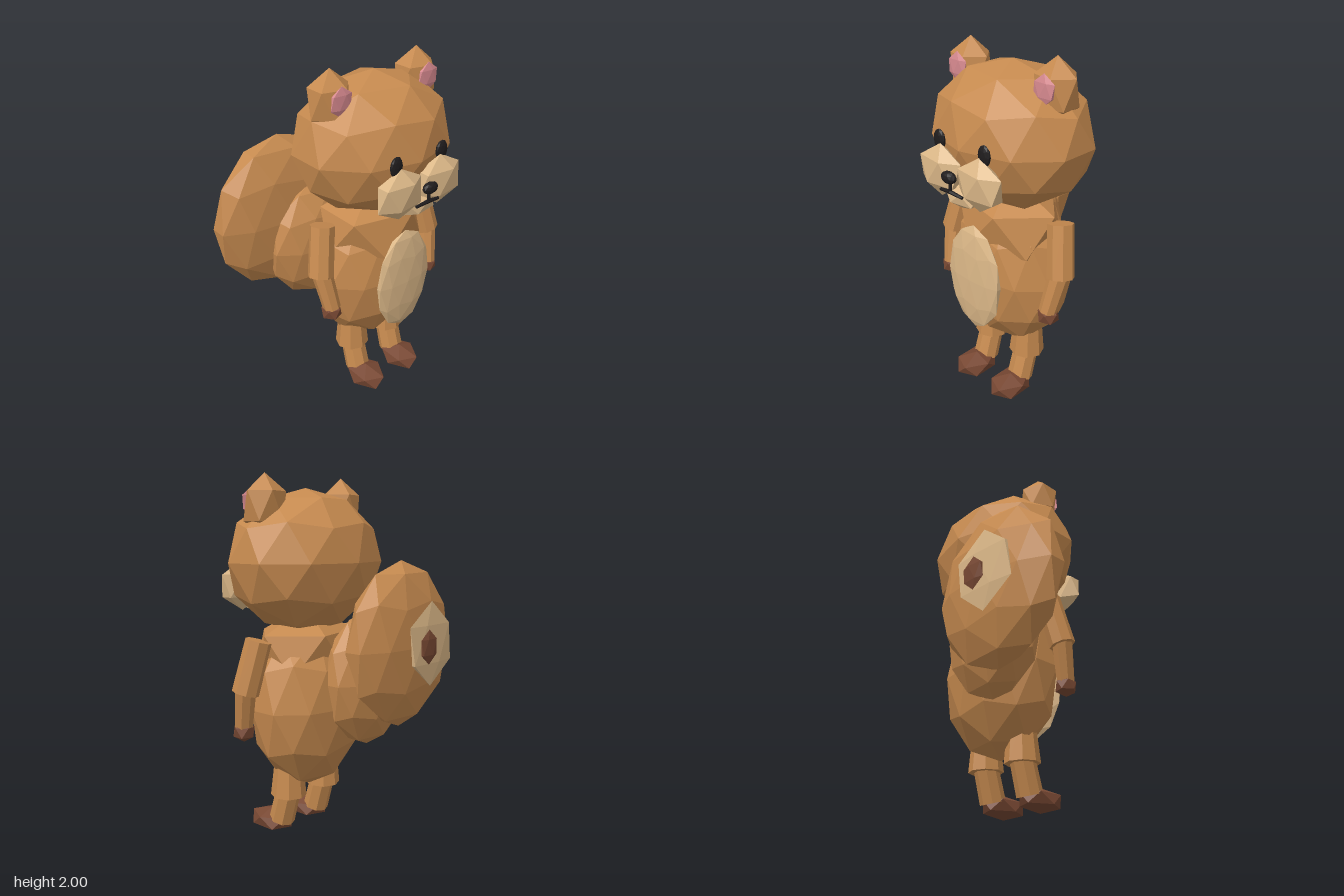
import * as THREE from 'three';

function material(name, color) {
  const m = new THREE.MeshStandardMaterial({ color, flatShading: true });
  m.name = name;
  return m;
}

// Faceted ball standing on a vertex, one upper ring corner pointing to +x
function facetedBall(detail) {
  const g = new THREE.IcosahedronGeometry(1, detail);
  g.rotateX(-Math.atan2((1 + Math.sqrt(5)) / 2, 1));
  g.rotateY(Math.PI / 2);
  g.computeVertexNormals();
  return g;
}

export function createModel() {
  const fur = material('fur', 0xc68a4f);
  const cream = material('cream', 0xdcb888);
  const brown = material('paw brown', 0x784833);
  const pink = material('ear pink', 0xd88a90);
  const black = material('black', 0x1f1c1d);

  const coarse = facetedBall(0);
  const fine = facetedBall(1);
  const model = new THREE.Group();
  model.name = 'squirrel';
  const MID = 0.145; // centre line of the body

  function ball(name, geometry, mat, position, radii) {
    const mesh = new THREE.Mesh(geometry, mat);
    mesh.name = name;
    mesh.position.set(...position);
    mesh.scale.set(...radii);
    model.add(mesh);
    return mesh;
  }

  // Eight-sided rod between two points
  function rod(name, mat, from, to, rFrom, rTo, sides = 8) {
    const a = new THREE.Vector3(...from);
    const b = new THREE.Vector3(...to);
    const dir = b.clone().sub(a);
    const mesh = new THREE.Mesh(new THREE.CylinderGeometry(rTo, rFrom, dir.length(), sides), mat);
    mesh.name = name;
    mesh.position.copy(a).add(b).multiplyScalar(0.5);
    mesh.quaternion.setFromUnitVectors(new THREE.Vector3(0, 1, 0), dir.normalize());
    model.add(mesh);
  }

  // Torso and head
  ball('body', fine, fur, [MID, 0.76, 0.04], [0.375, 0.48, 0.27]);
  ball('shoulders', coarse, fur, [MID, 1.05, 0.06], [0.35, 0.25, 0.275]);
  ball('belly', fine, cream, [MID, 0.788, 0.338], [0.195, 0.318, 0.042]);
  ball('head', fine, fur, [MID, 1.545, 0.055], [0.478, 0.39, 0.375]);

  // Face
  ball('chin', coarse, cream, [MID, 1.3, 0.41], [0.13, 0.067, 0.06]);
  ball('nose', fine, black, [MID, 1.427, 0.497], [0.05, 0.033, 0.028]);
  rod('noseLine', black, [MID, 1.41, 0.49], [MID, 1.345, 0.49], 0.009, 0.009, 6);

  // Paired parts on both sides of the centre line
  for (const s of [-1, 1]) {
    const side = s > 0 ? 'left' : 'right';
    const x = (d) => MID + s * d;
    ball(side + 'Ear', coarse, fur, [x(0.295), 1.832, 0.06], [0.132, 0.168, 0.112]);
    ball(side + 'InnerEar', coarse, pink, [x(0.297), 1.853, 0.155], [0.074, 0.08, 0.016]);
    ball(side + 'Eye', fine, black, [x(0.16), 1.558, 0.41], [0.041, 0.057, 0.018]);
    ball(side + 'Muzzle', coarse, cream, [x(0.14), 1.405, 0.423], [0.163, 0.143, 0.07]);
    rod(side + 'Mouth', black, [MID, 1.347, 0.49], [x(0.08), 1.337, 0.483], 0.011, 0.008, 6);

    rod(side + 'UpperArm', fur, [x(0.355), 1.145, 0.06], [x(0.41), 0.865, 0.11], 0.07, 0.073);
    rod(side + 'Forearm', fur, [x(0.405), 0.88, 0.115], [x(0.378), 0.665, 0.165], 0.058, 0.05);
    ball(side + 'Hand', coarse, brown, [x(0.38), 0.643, 0.162], [0.064, 0.058, 0.064]);

    rod(side + 'Thigh', fur, [x(0.142), 0.46, 0.06], [x(0.142), 0.245, 0.065], 0.078, 0.1);
    rod(side + 'Shin', fur, [x(0.142), 0.28, 0.062], [x(0.142), 0.085, 0.12], 0.07, 0.073);
    ball(side + 'Foot', coarse, brown, [x(0.142), 0.068, 0.2], [0.11, 0.068, 0.148]);
  }

  // Bushy tail with a round spot at the back
  ball('tailBase', fine, fur, [-0.06, 0.9, -0.215], [0.322, 0.38, 0.17]);
  ball('tail', fine, fur, [-0.215, 1.08, -0.325], [0.436, 0.47, 0.157]);
  ball('tailSpot', coarse, cream, [-0.275, 1.095, -0.493], [0.223, 0.237, 0.019]);
  ball('tailSpotCentre', coarse, brown, [-0.222, 1.085, -0.517], [0.083, 0.097, 0.015]);

  return model;
}
